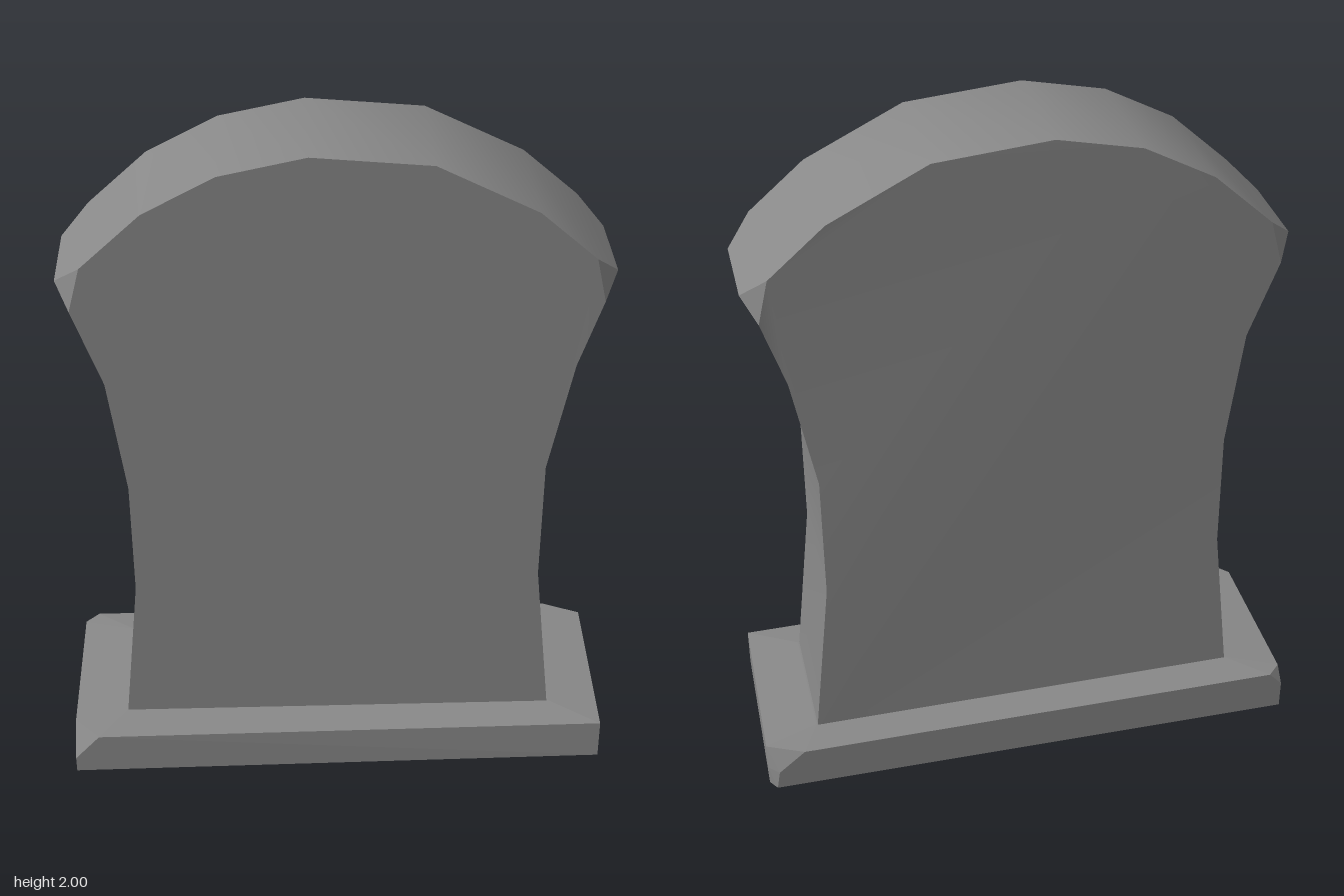
import * as THREE from 'three';
import { ConvexGeometry } from 'three/addons/geometries/ConvexGeometry.js';
import { toCreasedNormals } from 'three/addons/utils/BufferGeometryUtils.js';

// Slab outline, counter-clockwise; 's' marks a shoulder tip whose two corners are chipped off
const outline = [
  [0.65, 0.1], [0.59, 0.64], [0.59, 1.02], [0.655, 1.36], [0.72, 1.56],
  [0.76, 1.62, 's'],
  [0.69, 1.69], [0.53, 1.83], [0.25, 1.97], [-0.08, 2], [-0.32, 1.95], [-0.52, 1.845], [-0.69, 1.69],
  [-0.765, 1.62, 's'],
  [-0.725, 1.56], [-0.645, 1.33], [-0.6, 0.98], [-0.6, 0.62], [-0.655, 0.1],
];

// The faces are slightly uneven in depth
const frontZ = y => 0.192 + 0.006 * Math.sin(y * 1.1);
const backZ = y => (y < 1.3 ? -0.205 + 0.018 * y : -0.182 - 0.012 * Math.sin((y - 1.3) * 4.4));

function slabGeometry() {
  const positions = [];
  const tri = (...points) => points.forEach(p => positions.push(...p));
  const front = outline.map(([x, y, s]) => [x, y, s ? 0.13 : frontZ(y)]);
  const back = outline.map(([x, y, s]) => [x, y, s ? -0.13 : backZ(y)]);

  // Front and back faces, leaving out the shoulder tips
  const ids = outline.map((p, i) => i).filter(i => !outline[i][2]);
  const flat = ids.map(i => new THREE.Vector2(outline[i][0], outline[i][1]));
  for (const [a, b, c] of THREE.ShapeUtils.triangulateShape(flat, [])) {
    tri(front[ids[a]], front[ids[b]], front[ids[c]]);
    tri(back[ids[a]], back[ids[c]], back[ids[b]]);
  }

  // Rim around the edge, with a chip at each shoulder corner
  const n = outline.length;
  for (let i = 0; i < n; i++) {
    const j = (i + 1) % n, h = (i + n - 1) % n;
    tri(front[i], back[i], back[j]);
    tri(front[i], back[j], front[j]);
    if (outline[i][2]) {
      tri(front[h], front[i], front[j]);
      tri(back[h], back[j], back[i]);
    }
  }
  const geometry = new THREE.BufferGeometry();
  geometry.setAttribute('position', new THREE.Float32BufferAttribute(positions, 3));
  return toCreasedNormals(geometry, 0.5);
}

// Plinth: a low block with a gently raised top and chipped corners
function plinthGeometry() {
  const points = [
    // underside
    [-0.81, 0, 0.3], [0.8, 0, 0.295], [0.81, 0, -0.27], [0.79, 0, -0.3], [-0.81, 0, -0.3],
    // front left chip
    [-0.81, 0.05, 0.3], [-0.735, 0.133, 0.3], [-0.81, 0.133, 0.22],
    // front right corner
    [0.8, 0.125, 0.29],
    // back right chip
    [0.81, 0.128, -0.25], [0.7, 0.128, -0.3], [0.81, 0.06, -0.27], [0.78, 0.06, -0.3],
    // back left chip
    [-0.81, 0.133, -0.26], [-0.77, 0.133, -0.3], [-0.81, 0.09, -0.3],
    // raised middle
    [-0.65, 0.147, 0.19], [0.65, 0.138, 0.19], [0.65, 0.138, -0.2], [-0.65, 0.147, -0.2],
  ];
  return new ConvexGeometry(points.map(p => new THREE.Vector3(...p)));
}

export function createModel() {
  const stone = new THREE.MeshStandardMaterial({ color: 0x888888 });
  stone.name = 'grey stone';

  const model = new THREE.Group();
  model.name = 'gravestone';
  const add = (name, geometry) => {
    const mesh = new THREE.Mesh(geometry, stone);
    mesh.name = name;
    model.add(mesh);
  };
  add('slab', slabGeometry());
  add('plinth', plinthGeometry());
  return model;
}
